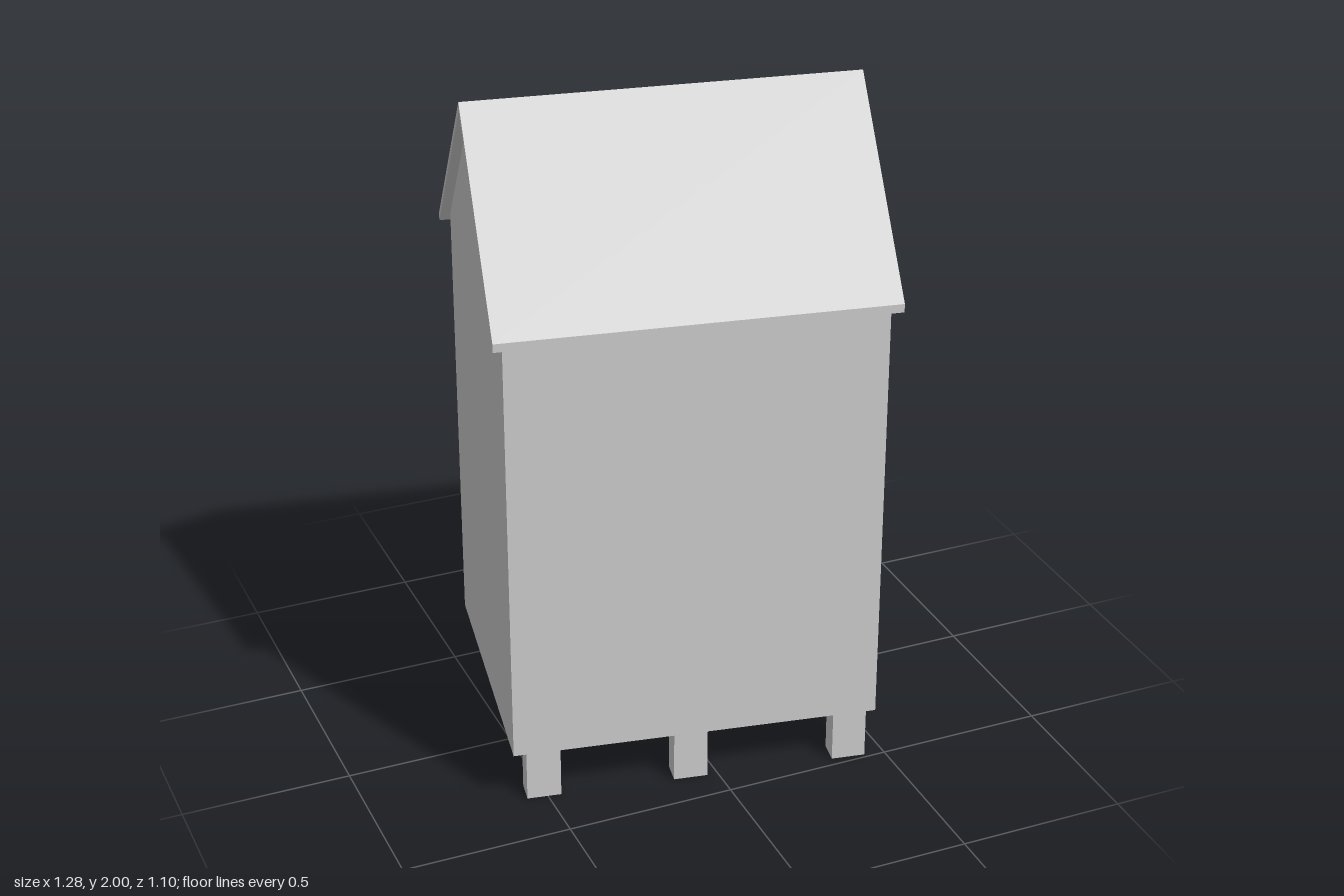
import * as THREE from 'three';

const material = new THREE.MeshStandardMaterial({ color: 0xcccccc, flatShading: true });

// Extrudes a gable-end outline along x, centred on the origin
function prism(name, outline, length) {
  const shape = new THREE.Shape(outline.map(([z, y]) => new THREE.Vector2(z, y)));
  const geometry = new THREE.ExtrudeGeometry(shape, { depth: length, bevelEnabled: false });
  geometry.translate(0, 0, -length / 2).rotateY(Math.PI / 2);
  const mesh = new THREE.Mesh(geometry, material);
  mesh.name = name;
  return mesh;
}

export function createModel() {
  const model = new THREE.Group();
  model.name = 'raisedHut';

  // The whole hut stands slightly turned
  const hut = new THREE.Group();
  hut.name = 'hut';
  hut.rotation.y = THREE.MathUtils.degToRad(-10);
  model.add(hut);

  // Walls with gable ends
  hut.add(prism('walls', [
    [-0.43, 0.17], [0.43, 0.17], [0.43, 1.497], [0, 1.978], [-0.43, 1.497],
  ], 1.076));

  // Thin pitched roof with overhanging eaves
  hut.add(prism('roof', [
    [-0.456, 1.465], [0, 1.975], [0.456, 1.465],
    [0.456, 1.49], [0, 2], [-0.456, 1.49],
  ], 1.134));

  // Short posts around the edge of the floor, none in the middle
  const posts = new THREE.Group();
  posts.name = 'posts';
  const postGeometry = new THREE.BoxGeometry(0.1, 0.17, 0.068);
  [-0.447, -0.011, 0.468].forEach((x, column) => {
    for (const z of [-0.37, 0, 0.37]) {
      if (column === 1 && z === 0) continue;
      const post = new THREE.Mesh(postGeometry, material);
      post.name = 'post';
      post.position.set(x, 0.085, z);
      posts.add(post);
    }
  });
  hut.add(posts);

  return model;
}
